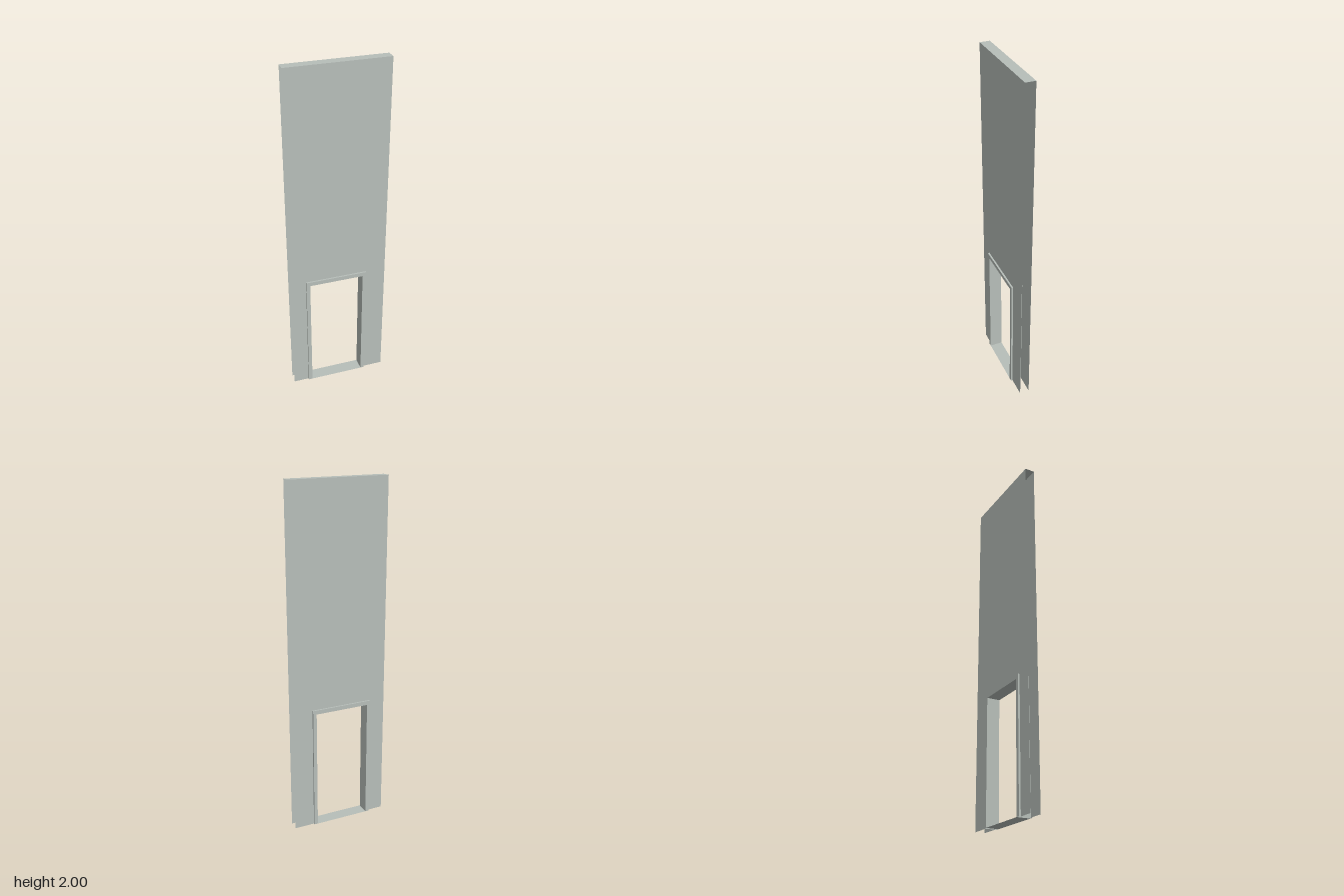
import * as THREE from 'three';

// overall measures
const W = 0.284, H = 2, WALL_Z = 0.028, FRAME_Z = 0.038;
const outer = { l: -0.194, r: 0.166, t: 0.735 };
const inner = { l: -0.172, r: 0.145, t: 0.711 };

export function createModel() {
  const model = new THREE.Group();
  const grey = new THREE.MeshStandardMaterial({ color: 0xb7beb9, side: THREE.DoubleSide });
  grey.name = 'paleGrey';

  const add = (name, geometry, parent) => {
    const mesh = new THREE.Mesh(geometry, grey);
    mesh.name = name;
    parent.add(mesh);
    return mesh;
  };

  // upright sheet in the shape of an arch: outer rectangle with a doorway cut from the floor
  const arch = (name, o, i, z, parent) => {
    const shape = new THREE.Shape([
      [o.l, 0], [o.l, o.t], [o.r, o.t], [o.r, 0],
      [i.r, 0], [i.r, i.t], [i.l, i.t], [i.l, 0],
    ].map(([x, y]) => new THREE.Vector2(x, y)));
    const mesh = add(name, new THREE.ShapeGeometry(shape), parent);
    mesh.position.z = z;
    if (z < 0) { // turn the rear sheet to face backwards
      mesh.geometry.rotateY(Math.PI);
      mesh.geometry.scale(-1, 1, 1);
      const index = mesh.geometry.index.array;
      for (let k = 0; k < index.length; k += 3) [index[k], index[k + 1]] = [index[k + 1], index[k]];
    }
  };

  // level sheet, facing up (or down)
  const level = (name, l, r, y, halfDepth, up, parent) => {
    const g = new THREE.PlaneGeometry(r - l, 2 * halfDepth).rotateX(up ? -Math.PI / 2 : Math.PI / 2);
    add(name, g, parent).position.set((l + r) / 2, y, 0);
  };

  // upright sheet across the depth, facing +x or -x
  const side = (name, x, height, dir, parent) => {
    const g = new THREE.PlaneGeometry(2 * FRAME_Z, height).rotateY(dir * Math.PI / 2);
    add(name, g, parent).position.set(x, height / 2, 0);
  };

  // wall: two faces and a top, open at the ends and below
  const wall = new THREE.Group();
  wall.name = 'wall';
  const wallEdge = { l: -W, r: W, t: H };
  arch('wallFront', wallEdge, outer, WALL_Z, wall);
  arch('wallBack', wallEdge, outer, -WALL_Z, wall);
  level('wallTop', -W, W, H, WALL_Z, true, wall);

  // door frame: hollow surround standing slightly proud of both wall faces
  const frame = new THREE.Group();
  frame.name = 'doorFrame';
  arch('frameFront', outer, inner, FRAME_Z, frame);
  arch('frameBack', outer, inner, -FRAME_Z, frame);
  level('frameTop', outer.l, outer.r, outer.t, FRAME_Z, true, frame);
  level('frameHead', inner.l, inner.r, inner.t, FRAME_Z, false, frame);
  level('doorSill', inner.l, inner.r, 0, FRAME_Z, true, frame);
  side('leftOuterJamb', outer.r, outer.t, 1, frame);
  side('rightOuterJamb', outer.l, outer.t, -1, frame);
  side('leftInnerJamb', inner.r, inner.t, -1, frame);
  side('rightInnerJamb', inner.l, inner.t, 1, frame);

  model.add(wall, frame);
  return model;
}
